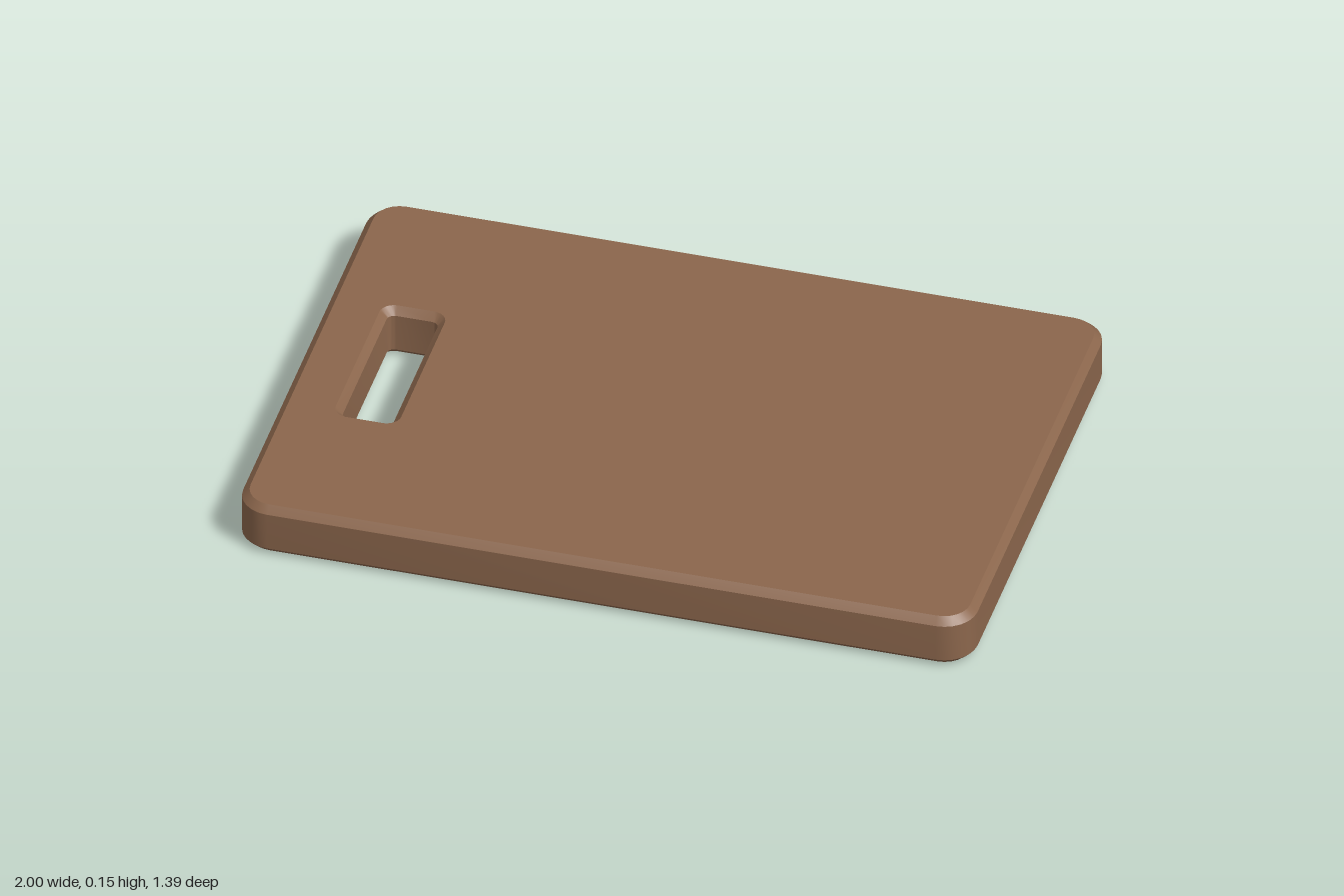
import * as THREE from 'three';
import { toCreasedNormals } from 'three/addons/utils/BufferGeometryUtils.js';

// Rectangle with softened corners, centred on (cx, 0)
function roundedRect(path, cx, halfW, halfH, r) {
  const x0 = cx - halfW, x1 = cx + halfW;
  path.moveTo(x0 + r, -halfH);
  path.lineTo(x1 - r, -halfH);
  path.absarc(x1 - r, -halfH + r, r, -Math.PI / 2, 0, false);
  path.lineTo(x1, halfH - r);
  path.absarc(x1 - r, halfH - r, r, 0, Math.PI / 2, false);
  path.lineTo(x0 + r, halfH);
  path.absarc(x0 + r, halfH - r, r, Math.PI / 2, Math.PI, false);
  path.lineTo(x0, -halfH + r);
  path.absarc(x0 + r, -halfH + r, r, Math.PI, Math.PI * 1.5, false);
  return path;
}

export function createModel() {
  const wood = new THREE.MeshStandardMaterial({ color: 0x8b664c });
  wood.name = 'brown wood';

  const thickness = 0.15, bevel = 0.02;

  // Board outline with the grip slot near its right end
  const outline = roundedRect(new THREE.Shape(), 0, 1, 0.695, 0.09);
  outline.holes.push(roundedRect(new THREE.Path(), -0.767, 0.069, 0.233, 0.02));

  // Chamfered slab, laid flat
  const slab = new THREE.ExtrudeGeometry(outline, {
    depth: thickness - 2 * bevel,
    curveSegments: 3,
    bevelEnabled: true,
    bevelSegments: 1,
    bevelSize: bevel,
    bevelThickness: bevel,
    bevelOffset: -bevel,
  });
  slab.translate(0, 0, bevel);
  slab.rotateX(-Math.PI / 2);

  const board = new THREE.Mesh(toCreasedNormals(slab, 0.6), wood);
  board.name = 'cuttingBoard';

  const group = new THREE.Group();
  group.name = 'choppingBoard';
  group.add(board);
  return group;
}
